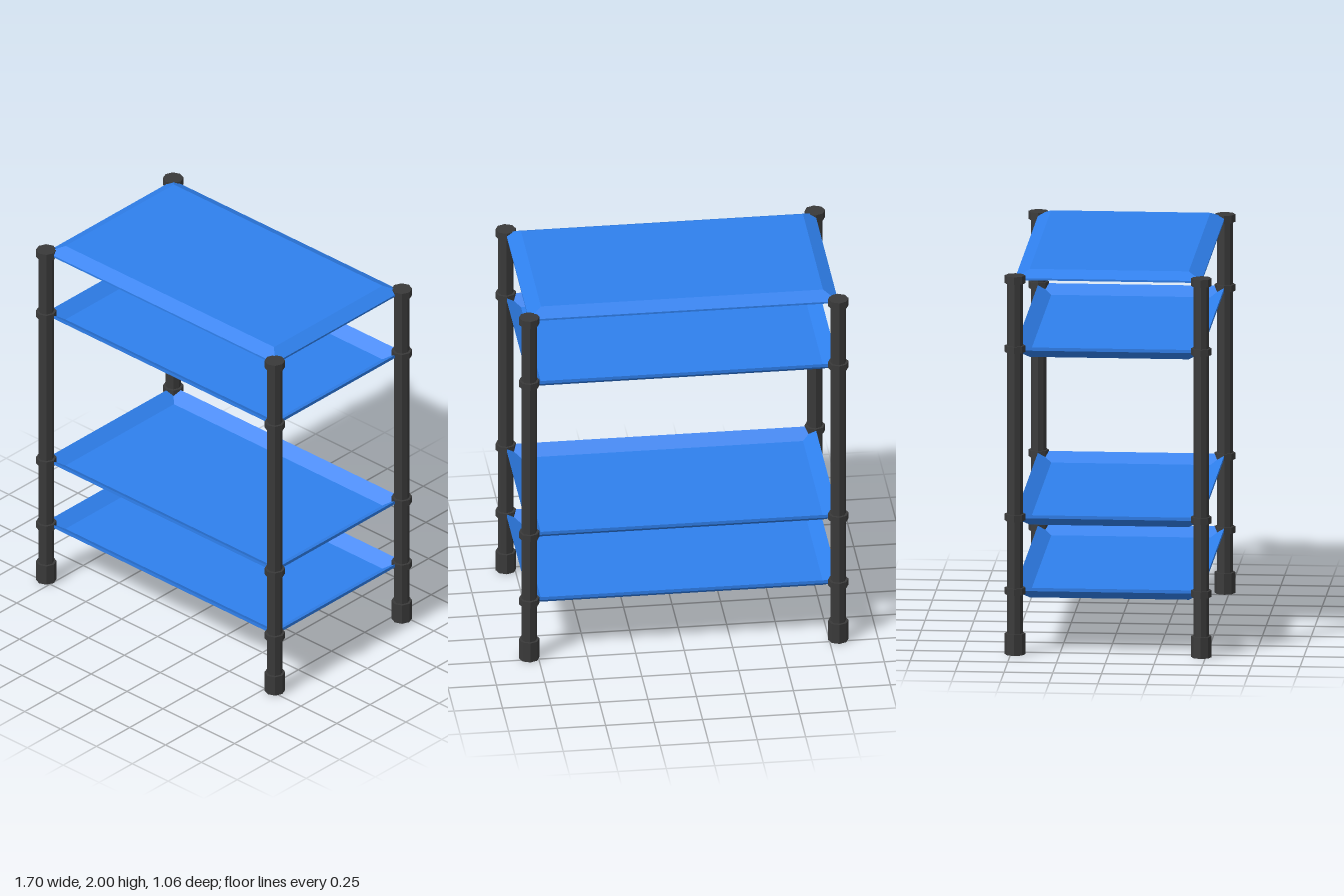
import * as THREE from 'three';

const X = 0.797, Z = 0.478; // post centres, also the shelf corners

const blue = new THREE.MeshStandardMaterial({ color: 0x2f80ed, flatShading: true });
const dark = new THREE.MeshStandardMaterial({ color: 0x3a3a3a, flatShading: true });

// Rectangular plate with sloped borders; profile runs [inset, y] from underside to top
function plateGeometry(profile) {
  const corners = [[1, 1], [1, -1], [-1, -1], [-1, 1]];
  const pos = [], idx = [];
  for (const [inset, y] of profile) {
    for (const [sx, sz] of corners) pos.push(sx * (X - inset), y, sz * (Z - inset));
  }
  for (let r = 0; r < profile.length - 1; r++) {
    for (let i = 0; i < 4; i++) {
      const a = r * 4 + i, b = r * 4 + (i + 1) % 4;
      idx.push(a, b, b + 4, a, b + 4, a + 4);
    }
  }
  const t = (profile.length - 1) * 4;
  idx.push(0, 2, 1, 0, 3, 2, t, t + 1, t + 2, t, t + 2, t + 3);
  const geo = new THREE.BufferGeometry();
  geo.setAttribute('position', new THREE.Float32BufferAttribute(pos, 3));
  geo.setIndex(idx);
  const flat = geo.toNonIndexed();
  flat.computeVertexNormals();
  return flat;
}

// Eight-sided upright section between two heights
function tube(name, radius, y0, y1) {
  const mesh = new THREE.Mesh(new THREE.CylinderGeometry(radius, radius, y1 - y0, 8), dark);
  mesh.position.y = (y0 + y1) / 2;
  mesh.name = name;
  return mesh;
}

export function createModel() {
  const model = new THREE.Group();
  model.name = 'shelfRack';

  // Three dished shelves
  const trayGeo = plateGeometry([[0.07, 0], [0, 0.047], [0, 0.064], [0.07, 0.018]]);
  [0.283, 0.663, 1.54].forEach((y, i) => {
    const tray = new THREE.Mesh(trayGeo, blue);
    tray.position.y = y;
    tray.name = 'shelf' + (i + 1);
    model.add(tray);
  });

  // Top shelf, turned over so its borders slope down
  const top = new THREE.Mesh(
    plateGeometry([[0.07, 1.985], [0, 1.955], [0, 1.965], [0.07, 2]]), blue);
  top.name = 'topShelf';
  model.add(top);

  // Corner posts with feet and collars
  for (const sx of [1, -1]) {
    for (const sz of [1, -1]) {
      const post = new THREE.Group();
      post.name = (sz > 0 ? 'front' : 'back') + (sx > 0 ? 'Left' : 'Right') + 'Post';
      post.add(tube('upright', 0.04, 0.005, 1.975));
      post.add(tube('foot', 0.053, 0, 0.11));
      for (const y of [0.332, 0.717, 1.597]) {
        post.add(tube('collar', 0.053, y - 0.017, y + 0.017));
      }
      post.add(tube('topCap', 0.053, 1.94, 1.98));
      post.position.set(sx * X, 0, sz * Z);
      model.add(post);
    }
  }
  return model;
}
